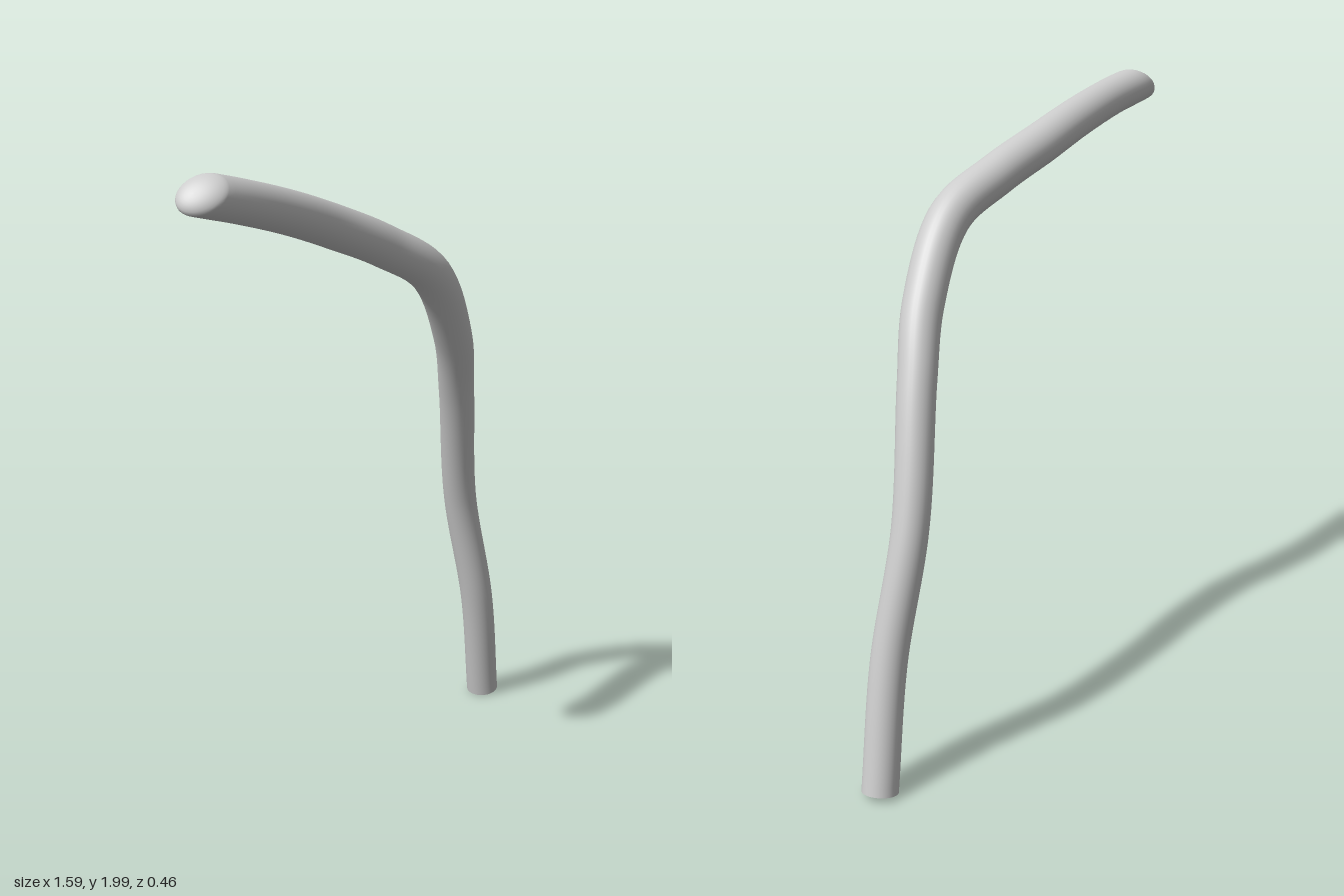
import * as THREE from 'three';

const SIDES = 32, STEPS = 96, DOME = 8;

// Centre line from the flat foot to the slanted tip: x, y, z, radius
const PATH = [
  [0.742, 0.011, -0.178, 0.056],
  [0.665, 0.4, -0.143, 0.056],
  [0.565, 0.8, -0.138, 0.056],
  [0.455, 1.2, -0.055, 0.059],
  [0.365, 1.41, 0.012, 0.063],
  [0.2, 1.635, 0.072, 0.066],
  [0, 1.737, 0.075, 0.066],
  [-0.2, 1.808, 0.085, 0.066],
  [-0.4, 1.866, 0.118, 0.064],
  [-0.6, 1.912, 0.153, 0.062],
  [-0.732, 1.938, 0.167, 0.061],
];

export function createModel() {
  const group = new THREE.Group();
  const material = new THREE.MeshStandardMaterial({ color: 0xcccccc });
  const curve = new THREE.CatmullRomCurve3(PATH.map(p => new THREE.Vector3(p[0], p[1], p[2])));
  const frames = curve.computeFrenetFrames(STEPS, false);
  const length = curve.getLength();

  const radiusAt = t => { // t is the raw curve parameter
    const f = t * (PATH.length - 1), i = Math.min(Math.floor(f), PATH.length - 2);
    return THREE.MathUtils.lerp(PATH[i][3], PATH[i + 1][3], f - i);
  };

  const positions = [], indices = [];
  const slantDir = new THREE.Vector3(0, 1, 1).normalize();

  // One ring; slant slides its points along the axis, bulge moves it forward
  const addRing = (step, scale, slant, bulge) => {
    const u = step / STEPS;
    const r = radiusAt(curve.getUtoTmapping(u)) * scale;
    const centre = curve.getPointAt(u), axis = frames.tangents[step];
    for (let j = 0; j < SIDES; j++) {
      const a = (j / SIDES) * Math.PI * 2;
      const off = frames.normals[step].clone().multiplyScalar(Math.cos(a) * r)
        .addScaledVector(frames.binormals[step], Math.sin(a) * r);
      const slide = bulge - slant * off.dot(slantDir);
      const p = off.add(centre).addScaledVector(axis, slide);
      positions.push(p.x, p.y, p.z);
    }
  };

  // Long bent body, slanting progressively near the tip
  for (let i = 0; i <= STEPS; i++) {
    const left = (1 - i / STEPS) * length;
    addRing(i, 1, 0.7 * Math.max(0, 1 - left / 0.18), 0);
  }
  // Rounded tip
  for (let k = 1; k <= DOME; k++) {
    const a = (k / DOME) * Math.PI / 2;
    addRing(STEPS, Math.max(Math.cos(a), 0.002), 0.7, 0.034 * Math.sin(a));
  }
  const rings = STEPS + DOME;
  for (let i = 0; i < rings; i++) {
    for (let j = 0; j < SIDES; j++) {
      const a = i * SIDES + j, b = i * SIDES + (j + 1) % SIDES;
      indices.push(a, b, a + SIDES, b, b + SIDES, a + SIDES);
    }
  }
  // Close the tip
  for (let j = 1; j < SIDES - 1; j++) {
    indices.push(rings * SIDES, rings * SIDES + j, rings * SIDES + j + 1);
  }
  const geometry = new THREE.BufferGeometry();
  geometry.setAttribute('position', new THREE.Float32BufferAttribute(positions, 3));
  geometry.setIndex(indices);
  geometry.computeVertexNormals();
  const body = new THREE.Mesh(geometry, material);
  body.name = 'bentRod';
  group.add(body);

  // Flat foot, facing down along the rod
  const foot = new THREE.Mesh(new THREE.CircleGeometry(PATH[0][3], SIDES), material);
  foot.name = 'footCap';
  foot.position.copy(curve.getPointAt(0));
  foot.quaternion.setFromUnitVectors(new THREE.Vector3(0, 0, 1), frames.tangents[0].clone().negate());
  group.add(foot);

  return group;
}
